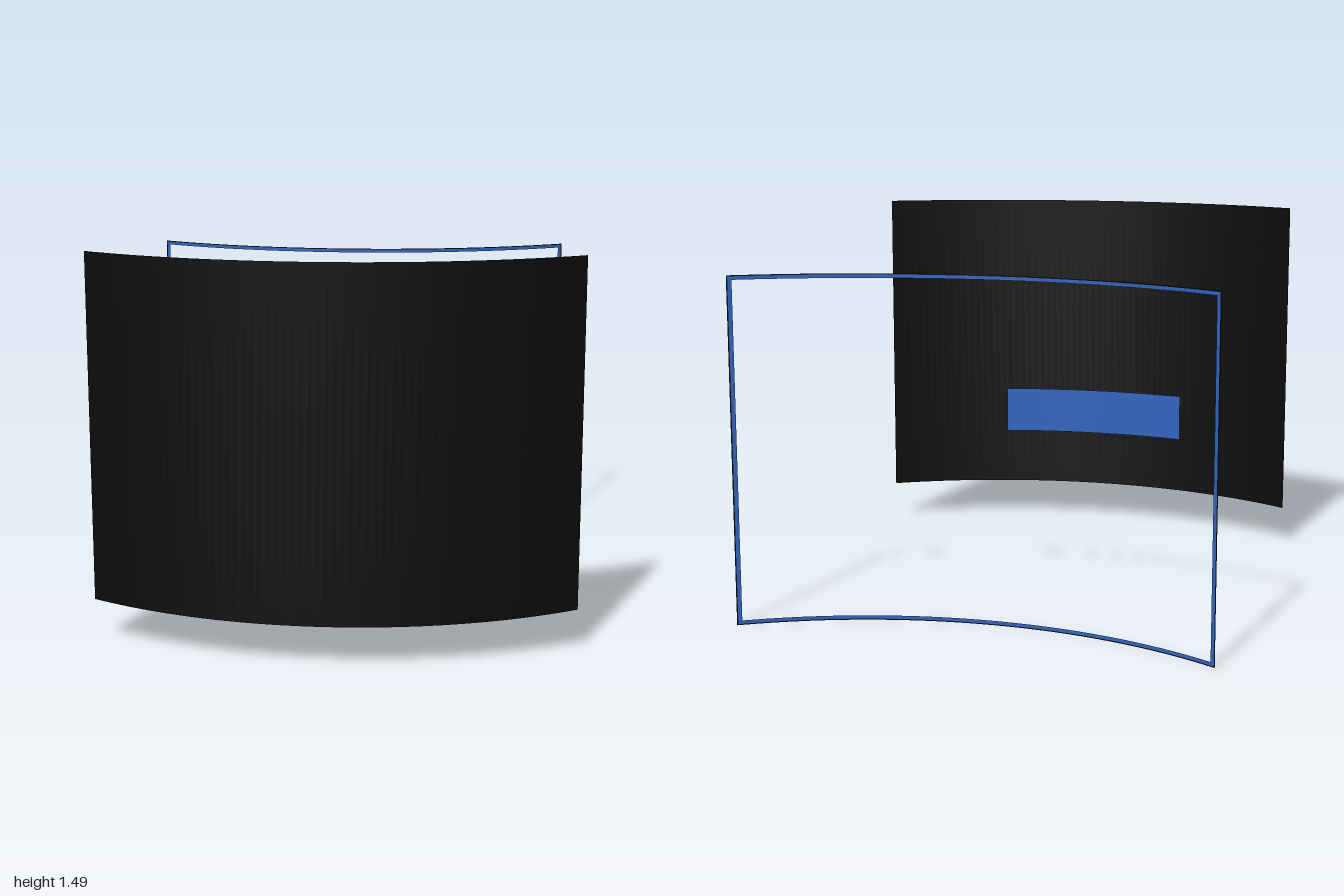
import * as THREE from 'three';

const HALF = 0.91, SAG = 0.26;
const R = (HALF * HALF + SAG * SAG) / (2 * SAG);
const HEIGHT = 1.325;

// Thin sheet bent round a vertical axis, bulging to +z; zMid is where the arc crosses x = 0
function bentSheet(name, material, x0, x1, y0, y1, zMid, segments = 64) {
  const geometry = new THREE.PlaneGeometry(1, 1, segments, 1);
  const p = geometry.attributes.position;
  const a0 = Math.asin(x0 / R), a1 = Math.asin(x1 / R);
  for (let i = 0; i < p.count; i++) {
    const a = THREE.MathUtils.lerp(a0, a1, p.getX(i) + 0.5);
    const y = THREE.MathUtils.lerp(y0, y1, p.getY(i) + 0.5);
    p.setXYZ(i, R * Math.sin(a), y, zMid - R * (1 - Math.cos(a)));
  }
  geometry.computeVertexNormals();
  const mesh = new THREE.Mesh(geometry, material);
  mesh.name = name;
  return mesh;
}

// Rectangular border made of four bent strips, inset from the sheet outline
function bentBorder(name, material, inset, width, zMid) {
  const border = new THREE.Group();
  border.name = name;
  const x = HALF - inset, y0 = inset, y1 = HEIGHT - inset;
  border.add(
    bentSheet('bottomStrip', material, -x, x, y0, y0 + width, zMid),
    bentSheet('topStrip', material, -x, x, y1 - width, y1, zMid),
    bentSheet('rightStrip', material, -x, -x + width, y0 + width, y1 - width, zMid, 2),
    bentSheet('leftStrip', material, x - width, x, y0 + width, y1 - width, zMid, 2)
  );
  return border;
}

export function createModel() {
  const black = new THREE.MeshStandardMaterial({ color: 0x0b0b0b, side: THREE.DoubleSide });
  black.name = 'black';
  const blue = new THREE.MeshStandardMaterial({ color: 0x2f62bd, side: THREE.DoubleSide });
  blue.name = 'blue';

  const model = new THREE.Group();
  model.name = 'curvedScreen';

  // Solid curved panel at the front
  model.add(bentSheet('frontPanel', black, -HALF, HALF, 0.16, 0.16 + HEIGHT, 1));

  // Small curved bar just behind the panel
  model.add(bentSheet('rearBar', blue, -0.41, 0.41, 0.41, 0.61, 0.95));

  // Open curved frame at the back, with a dark outer rim
  const frame = new THREE.Group();
  frame.name = 'rearFrame';
  frame.add(
    bentBorder('outerRim', black, 0, 0.004, -0.74),
    bentBorder('border', blue, 0.004, 0.013, -0.74)
  );
  model.add(frame);

  return model;
}
